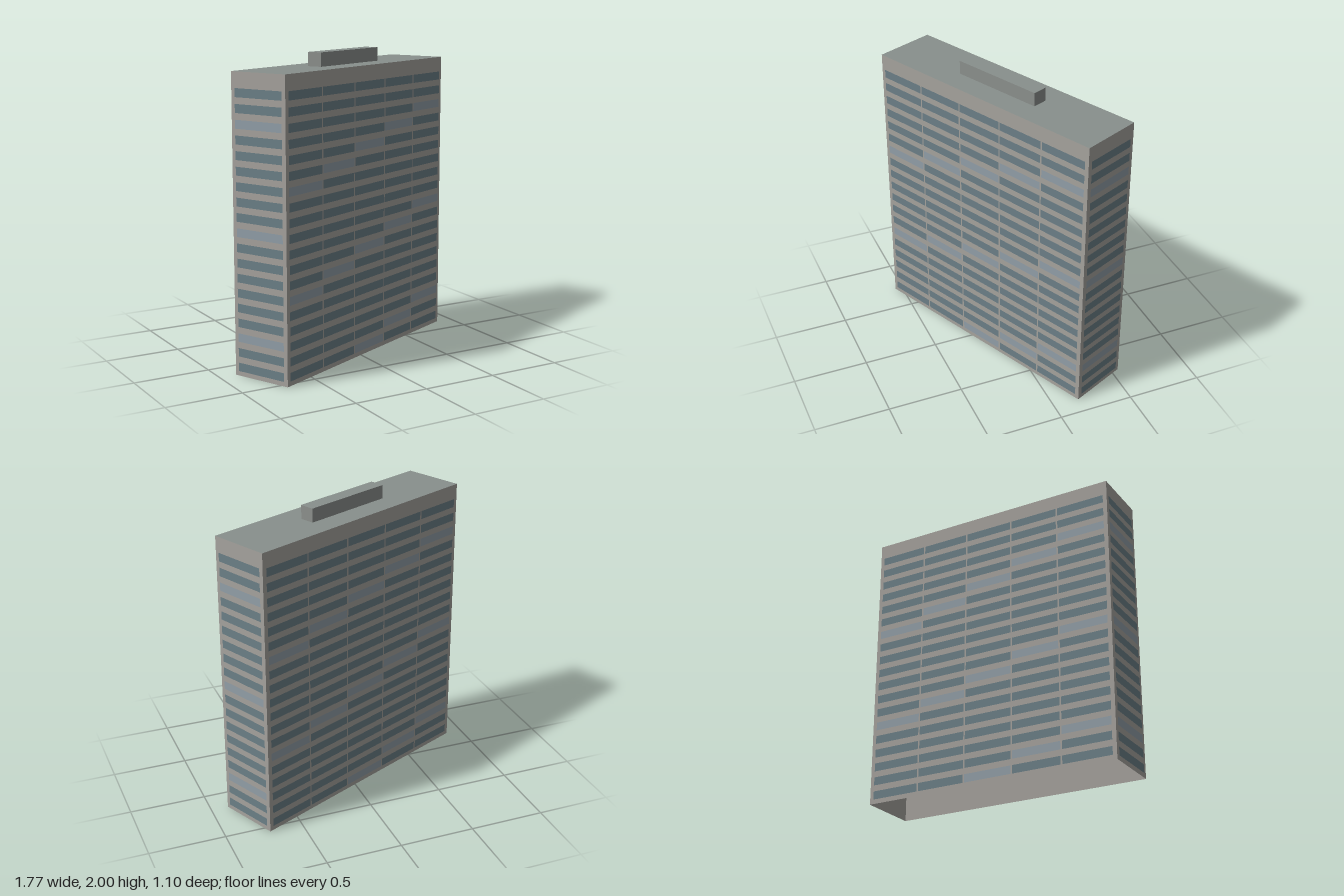
import * as THREE from 'three';
import { mergeGeometries } from 'three/addons/utils/BufferGeometryUtils.js';

const LENGTH = 1.76, DEPTH = 0.413, HEIGHT = 1.91;
const ROWS = 19, PITCH = 0.0958, PANE_H = 0.055, MARGIN = 0.027, GAP = 0.011;

const paint = (color) => new THREE.MeshStandardMaterial({ color, side: THREE.DoubleSide });

function addMesh(parent, name, geometry, material) {
  const mesh = new THREE.Mesh(geometry, material);
  mesh.name = name;
  parent.add(mesh);
  return mesh;
}

// Four upright planes around a rectangle, open at top and bottom
function wallRing(length, depth, height, y) {
  const sides = [];
  for (let i = 0; i < 4; i++) {
    const w = i % 2 ? depth : length, out = (i % 2 ? length : depth) / 2;
    sides.push(new THREE.PlaneGeometry(w, height).translate(0, y + height / 2, out).rotateY(i * Math.PI / 2));
  }
  return mergeGeometries(sides);
}

const slab = (length, depth, y) =>
  new THREE.PlaneGeometry(length, depth).rotateX(-Math.PI / 2).translate(0, y, 0);

export function createModel() {
  const model = new THREE.Group();
  model.name = 'officeSlab';
  const building = new THREE.Group();
  building.name = 'building';
  building.rotation.y = 0.424;
  model.add(building);

  // Hollow shell, open underneath
  const roofPaint = paint(0x88908c);
  addMesh(building, 'walls', wallRing(LENGTH, DEPTH, HEIGHT, 0), paint(0xa6a39e));
  addMesh(building, 'roof', slab(LENGTH, DEPTH, HEIGHT), roofPaint);

  // Plant room on the roof
  addMesh(building, 'plantRoomWalls', wallRing(0.634, 0.099, 0.09, HEIGHT), paint(0x8c908d));
  addMesh(building, 'plantRoomRoof', slab(0.634, 0.099, 2), roofPaint);

  // Window bands: five bays on each long side, one on each end,
  // with pale panes stepping diagonally every seven floors
  const dark = [], pale = [];
  for (let side = 0; side < 4; side++) {
    const isEnd = side % 2 === 1;
    const bays = isEnd ? 1 : 5;
    const span = (isEnd ? DEPTH : LENGTH) - 2 * MARGIN;
    const out = (isEnd ? LENGTH : DEPTH) / 2 + 0.002;
    const paneW = (span - GAP * (bays - 1)) / bays;
    for (let row = 0; row < ROWS; row++) {
      for (let bay = 0; bay < bays; bay++) {
        const x = -span / 2 + paneW / 2 + bay * (paneW + GAP);
        const pane = new THREE.PlaneGeometry(paneW, PANE_H)
          .translate(x, 1.782 - row * PITCH, out)
          .rotateY(side * Math.PI / 2);
        const isPale = isEnd ? row % 7 === 2 : (row + bay) % 7 === 6;
        (isPale ? pale : dark).push(pane);
      }
    }
  }
  // Panes face outward only, so the inside of the shell stays plain
  addMesh(building, 'darkWindows', mergeGeometries(dark), new THREE.MeshStandardMaterial({ color: 0x6c8088 }));
  addMesh(building, 'paleWindows', mergeGeometries(pale), new THREE.MeshStandardMaterial({ color: 0x929fa8 }));

  return model;
}
